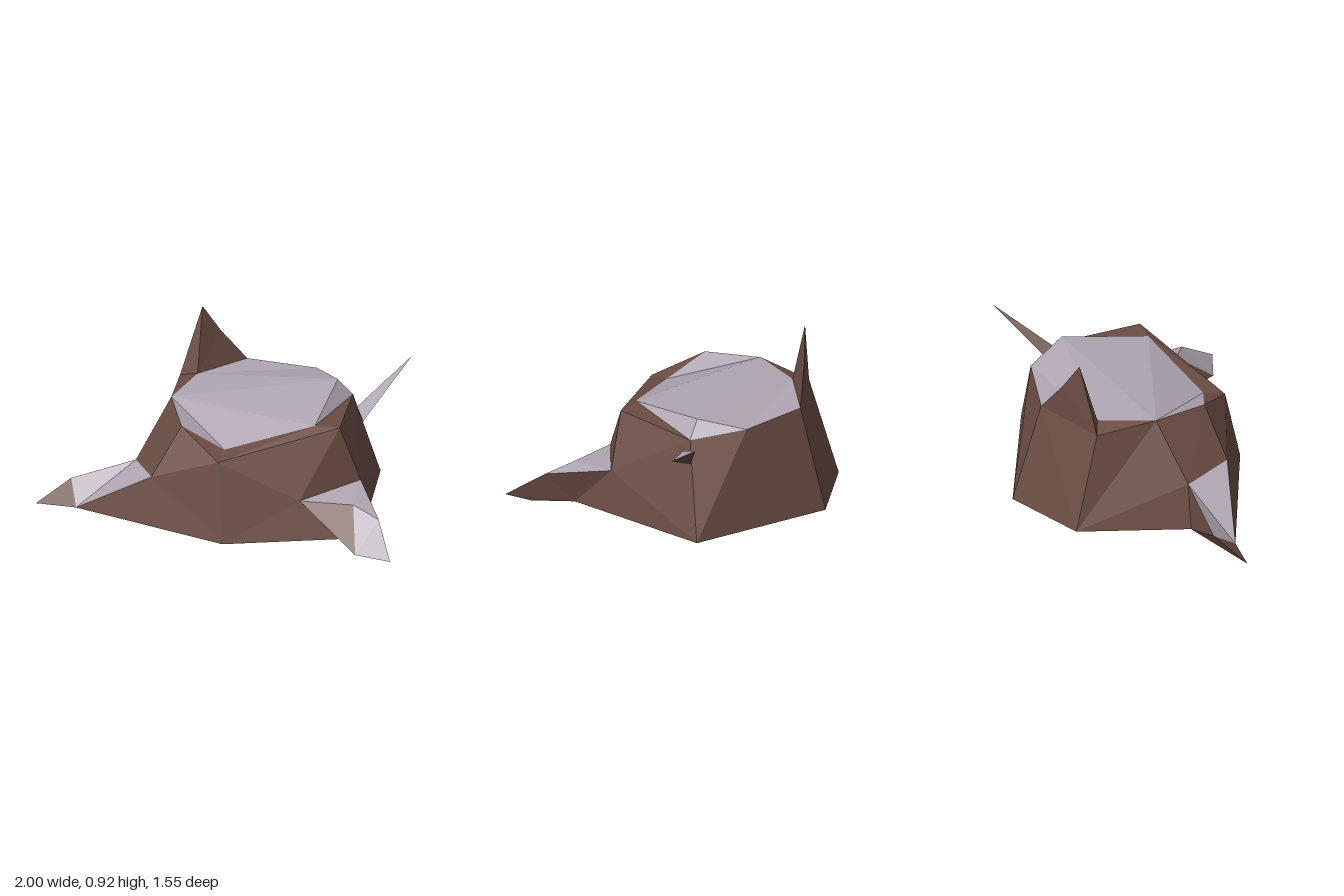
import * as THREE from 'three';

const bark = new THREE.MeshStandardMaterial({ color: 0x6b4d44, side: THREE.DoubleSide });
bark.name = 'bark brown';
const wood = new THREE.MeshStandardMaterial({ color: 0xb0a7b2, side: THREE.DoubleSide });
wood.name = 'pale cut wood';

// Shared corner points of the faceted stump
const ground = {
  a: [-0.27, 0.01, -0.63], b: [0.16, 0.01, -0.78], c: [0.83, 0.01, -0.37],
  d: [0.69, 0.01, 0.43], e: [-0.04, 0.01, 0.47], f: [-0.52, 0, -0.08],
};
const rim = {
  A: [-0.06, 0.44, 0.37], B: [0.59, 0.55, 0.21], C: [0.68, 0.52, -0.25], D: [0.14, 0.56, -0.62],
  E: [0.5, 0.56, -0.49], F: [-0.22, 0.54, -0.48], G: [-0.28, 0.57, -0.16], H: [-0.24, 0.55, 0.15],
};
const cut = { J: [-0.13, 0.57, -0.43], K: [-0.02, 0.46, 0.26], L: [0.46, 0.555, 0.19], P: [0.6, 0.61, -0.25] };
const sideRootPoints = {
  U: [-0.4, 0.28, 0.2], W: [-0.47, 0.25, -0.07], V: [-0.79, 0.03, 0.04],
  X: [-0.81, 0.135, -0.1], Y: [-1, 0.04, 0],
};
const frontRootPoints = {
  M: [0.37, 0.215, 0.39], N: [0.7, 0.245, 0.21], O: [0.78, 0.18, 0.56], Q: [0.65, 0.22, 0.46],
  R: [0.65, 0.035, 0.68], S: [0.83, 0.035, 0.77], T: [0.77, 0, 0.65],
};
const spikePoints = { Z: [-0.1, 0.92, -0.52], z: [0, 0.75, -0.57] };
const splinterPoints = {
  1: [0.7, 0.46, -0.22], 2: [0.73, 0.4, -0.17], 3: [0.71, 0.4, -0.27], 4: [1, 0.64, -0.45],
};
const points = {
  ...ground, ...rim, ...cut, ...sideRootPoints, ...frontRootPoints, ...spikePoints, ...splinterPoints,
};

// Fans each polygon into flat triangles, turned away from the given inner point
function facets(name, polygons, inner, material) {
  const centre = new THREE.Vector3(...inner);
  const out = [];
  for (const polygon of polygons.split(' ')) {
    const v = [...polygon].map((key) => new THREE.Vector3(...points[key]));
    for (let i = 1; i < v.length - 1; i++) {
      const tri = new THREE.Triangle(v[0], v[i], v[i + 1]);
      const normal = tri.getNormal(new THREE.Vector3());
      const outward = tri.getMidpoint(new THREE.Vector3()).sub(centre);
      const order = normal.dot(outward) < 0 ? [v[0], v[i + 1], v[i]] : [v[0], v[i], v[i + 1]];
      order.forEach((p) => out.push(p.x, p.y, p.z));
    }
  }
  const geometry = new THREE.BufferGeometry();
  geometry.setAttribute('position', new THREE.Float32BufferAttribute(out, 3));
  geometry.computeVertexNormals();
  const mesh = new THREE.Mesh(geometry, material);
  mesh.name = name;
  return mesh;
}

export function createModel() {
  const stump = new THREE.Group();
  stump.name = 'treeStump';
  const core = [0.2, 0.2, -0.1];

  stump.add(
    // Bark walls around the trunk, and its underside
    facets('trunkFront', 'eAM ABM BNM eMd MNd HUA UeA', core, bark),
    facets('trunkRight', 'BCN NCc Ncd CEc', core, bark),
    facets('trunkBack', 'Ecb EDb DFab', core, bark),
    facets('trunkLeft', 'FaG aWG afW GWH WUH', core, bark),
    facets('trunkBase', 'abcdef', core, bark),

    // Bark lip and the slanting cut surface
    facets('barkLip', 'AKH ABLK BCL GJF', core, bark),
    facets('cutSurface', 'DJE JPE GPJ GLP GKL GHK PEC LCP', core, wood),

    // Tall shard left standing on the back wall
    facets('backShard', 'FZzD FJZ JzZ JDz', [-0.06, 0.62, -0.52], bark),
  );

  // Root running out to the side
  const sideRoot = new THREE.Group();
  sideRoot.name = 'sideRoot';
  const sideInner = [-0.58, 0.09, 0.02];
  sideRoot.add(
    facets('sideRootTop', 'XWV WUV', sideInner, wood),
    facets('sideRootBark', 'XVY UVe XWf XfY VYf Vfe', sideInner, bark),
  );

  // Root running out to the front corner
  const frontRoot = new THREE.Group();
  frontRoot.name = 'frontRoot';
  const frontInner = [0.69, 0.1, 0.48];
  frontRoot.add(
    facets('frontRootTop', 'MNQ NOQ QRO ROS', frontInner, wood),
    facets('frontRootBark', 'MQR MRd NOd OSd STd RTS RTd', frontInner, bark),
  );

  // Thin splinter on the right wall
  const splinter = new THREE.Group();
  splinter.name = 'splinter';
  const splinterInner = [0.76, 0.46, -0.26];
  splinter.add(
    facets('splinterFace', '124', splinterInner, wood),
    facets('splinterBark', '134 234 123', splinterInner, bark),
  );

  stump.add(sideRoot, frontRoot, splinter);
  return stump;
}
